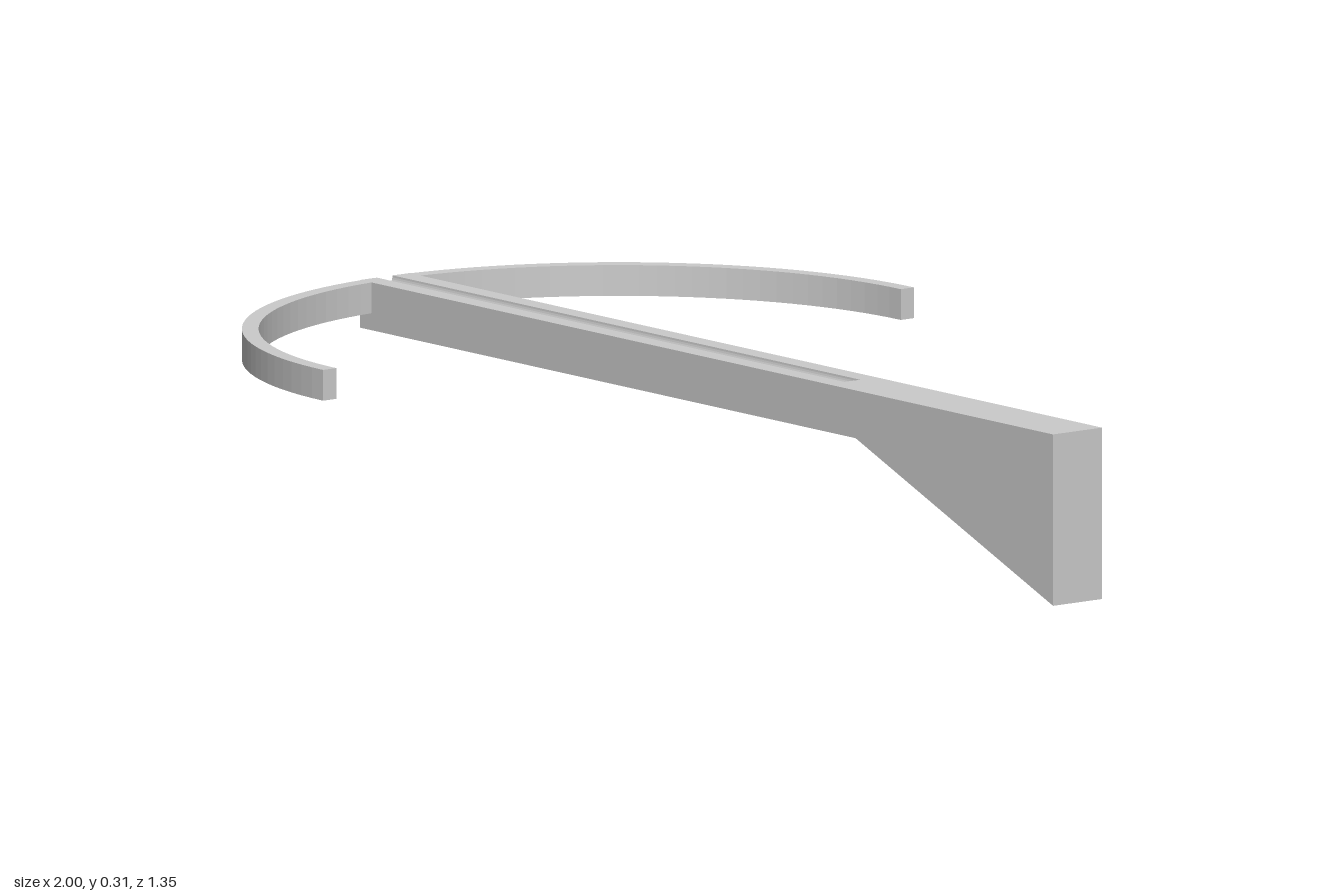
import * as THREE from 'three';

const TOP = 0.312, BOTTOM = 0.225, HALF_WIDTH = 0.056;
const GROOVE_R = 0.018, GROOVE_END = 0.35;
const material = new THREE.MeshStandardMaterial({ color: 0xcccccc, flatShading: true });

function addMesh(group, name, geometry) {
  const mesh = new THREE.Mesh(geometry, material);
  mesh.name = name;
  group.add(mesh);
}

function extrude(shape, depth, curveSegments = 8) {
  return new THREE.ExtrudeGeometry(shape, { depth, curveSegments, bevelEnabled: false });
}

// Front rail: a bar with a round groove along its top, extruded along x
function railGeometry() {
  const s = new THREE.Shape();
  s.moveTo(-HALF_WIDTH, BOTTOM);
  s.lineTo(HALF_WIDTH, BOTTOM);
  s.lineTo(HALF_WIDTH, TOP);
  s.lineTo(GROOVE_R, TOP);
  s.absarc(0, TOP, GROOVE_R, 0, -Math.PI, true);
  s.lineTo(-HALF_WIDTH, TOP);
  s.closePath();
  return extrude(s, GROOVE_END + 1).rotateY(Math.PI / 2).translate(-1, 0, 0);
}

// Rear stock: side profile that flares down to the butt
function stockGeometry() {
  const profile = [[GROOVE_END, BOTTOM], [0.43, BOTTOM], [1, 0], [1, TOP], [GROOVE_END, TOP]];
  const s = new THREE.Shape(profile.map(([x, y]) => new THREE.Vector2(x, y)));
  return extrude(s, 2 * HALF_WIDTH).translate(0, 0, -HALF_WIDTH);
}

// Bow limb: a quarter ring starting just inside the rail
function limbGeometry(side) {
  const start = Math.PI + side * 0.08, end = Math.PI + side * Math.PI / 2;
  const s = new THREE.Shape();
  s.absarc(0, 0, 0.675, start, end, side < 0);
  s.absarc(0, 0, 0.645, end, start, side > 0);
  s.closePath();
  return extrude(s, TOP - 0.256, 15).rotateX(-Math.PI / 2).translate(-0.325, 0.256, 0);
}

export function createModel() {
  const group = new THREE.Group();
  group.name = 'crossbow';
  addMesh(group, 'groovedRail', railGeometry());
  addMesh(group, 'stock', stockGeometry());
  addMesh(group, 'leftLimb', limbGeometry(1));
  addMesh(group, 'rightLimb', limbGeometry(-1));
  return group;
}
